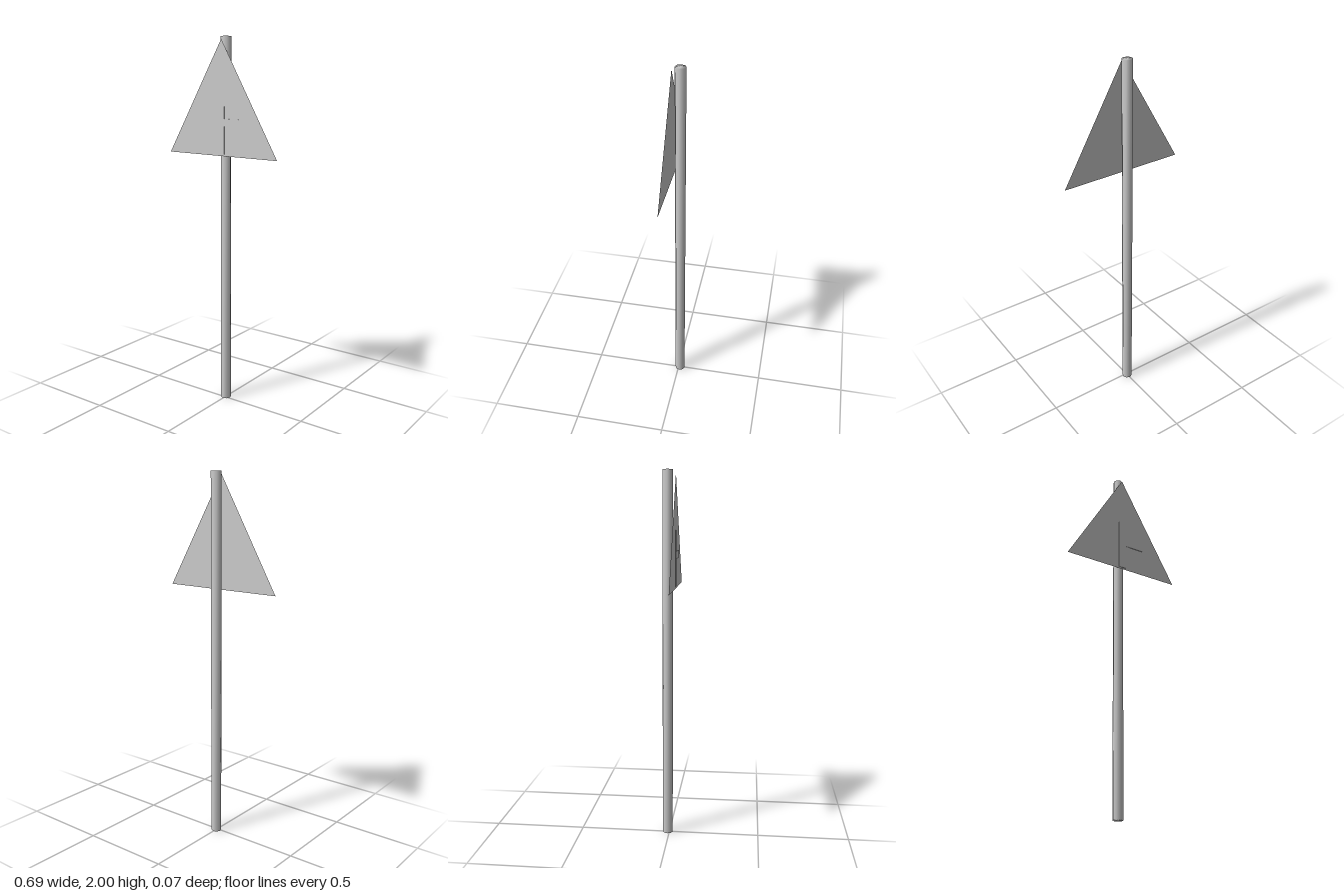
import * as THREE from 'three';
import { mergeVertices } from 'three/addons/utils/BufferGeometryUtils.js';

export function createModel() {
  const model = new THREE.Group();
  model.name = 'roadSign';
  const grey = new THREE.MeshStandardMaterial({ color: 0xcccccc, side: THREE.DoubleSide });
  grey.name = 'light grey';

  const add = (name, geometry, x, y, z) => {
    const mesh = new THREE.Mesh(geometry, grey);
    mesh.name = name;
    mesh.position.set(x, y, z);
    model.add(mesh);
  };
  const outline = (points) => new THREE.Shape(points.map(([x, y]) => new THREE.Vector2(x, y)));

  // Eight-sided pole, with normals shared between the side and the caps
  let pole = new THREE.CylinderGeometry(0.028, 0.028, 2, 8);
  pole.deleteAttribute('normal');
  pole.deleteAttribute('uv');
  pole = mergeVertices(pole);
  pole.computeVertexNormals();
  add('pole', pole, 0, 1, -0.009);

  // Flat triangular plate standing just in front of the pole
  const plate = outline([[-0.347, 1.385], [0.347, 1.385], [0, 1.985]]);
  add('signPlate', new THREE.ShapeGeometry(plate), 0, 0, 0.034);

  // Thin side-junction symbol: an upright bar with an arm to one side
  const symbol = outline([
    [-0.02, 1.395], [0.02, 1.395], [0.02, 1.54], [0.14, 1.54],
    [0.14, 1.58], [0.02, 1.58], [0.02, 1.69], [-0.02, 1.69],
  ]);
  const symbolGeometry = new THREE.ExtrudeGeometry(symbol, { depth: 0.002, bevelEnabled: false });
  add('junctionSymbol', symbolGeometry, 0, 0, 0.0345);

  return model;
}
